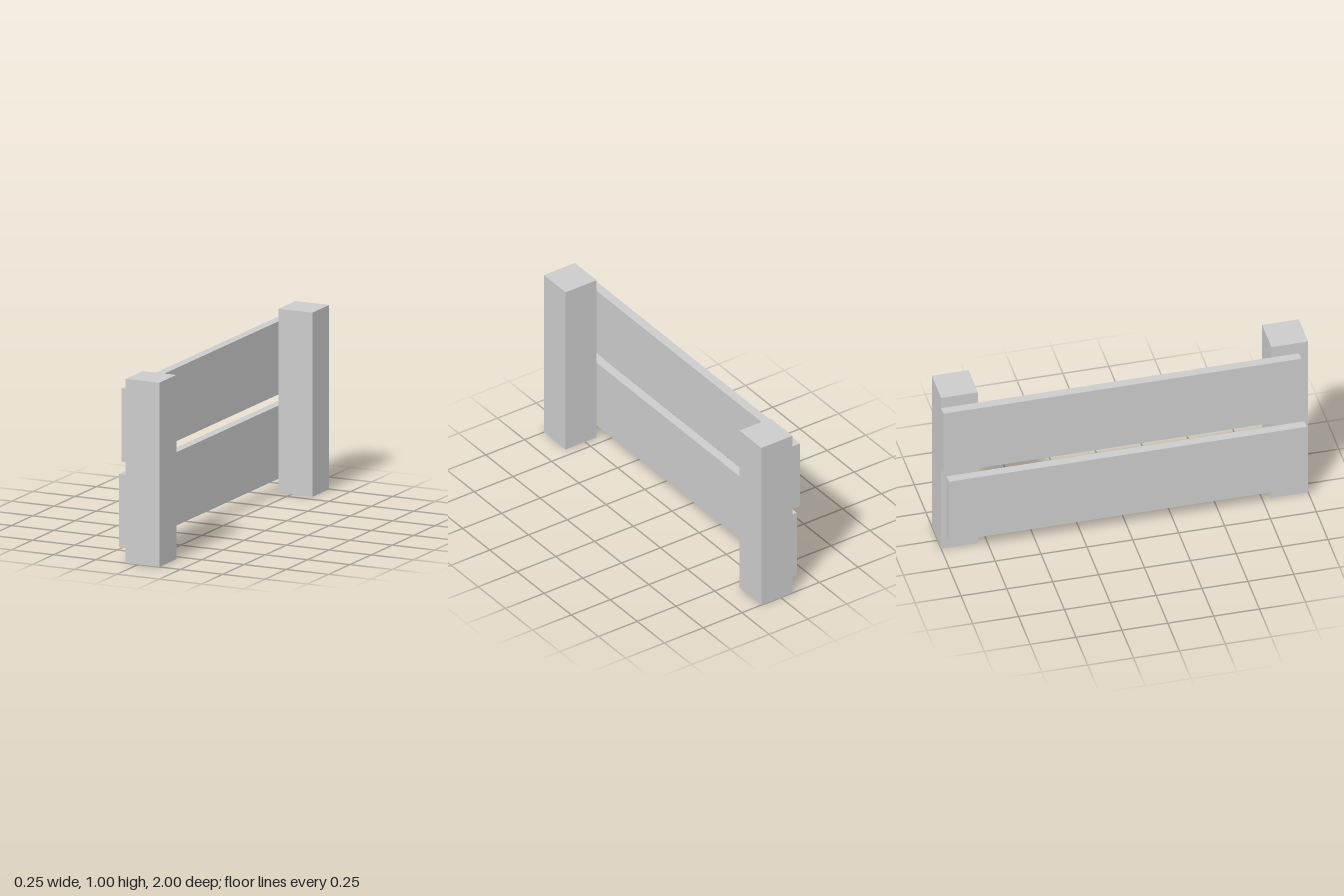
import * as THREE from 'three';
import { ConvexGeometry } from 'three/addons/geometries/ConvexGeometry.js';

const material = new THREE.MeshStandardMaterial({ color: 0xcccccc, flatShading: true });
const V = (x, y, z) => new THREE.Vector3(x, y, z);

// unique corner points of a convex hull
function hullCorners(points) {
  const pos = new ConvexGeometry(points).attributes.position;
  const corners = [];
  for (let i = 0; i < pos.count; i++) {
    const p = V().fromBufferAttribute(pos, i);
    if (!corners.some(c => c.distanceTo(p) < 1e-5)) corners.push(p);
  }
  return corners;
}

// split a convex solid by a plane into two corner sets
function split(points, plane) {
  const above = [], below = [];
  const d = points.map(p => plane.distanceToPoint(p));
  points.forEach((p, i) => {
    if (d[i] > -1e-6) above.push(p);
    if (d[i] < 1e-6) below.push(p);
    for (let j = 0; j < i; j++) {
      if (d[i] * d[j] < 0 && Math.min(Math.abs(d[i]), Math.abs(d[j])) > 1e-6) {
        const q = p.clone().lerp(points[j], d[i] / (d[i] - d[j]));
        above.push(q);
        below.push(q);
      }
    }
  });
  return [above, below];
}

// square post broken along planes; each cut slices off the side away from "keep"
function makePost(name, z, keep, cuts) {
  const group = new THREE.Group();
  group.name = name;
  let rest = [];
  for (const x of [-0.075, 0.125]) for (const y of [0, 1]) for (const dz of [-0.1, 0.1]) rest.push(V(x, y, z + dz));
  const addPiece = points => {
    const mesh = new THREE.Mesh(new ConvexGeometry(points), material);
    mesh.name = 'postPiece';
    group.add(mesh);
  };
  for (const cut of cuts) {
    const plane = new THREE.Plane().setFromCoplanarPoints(...cut.map(p => V(...p)));
    const [above, below] = split(rest, plane);
    const keepAbove = plane.distanceToPoint(keep) > 0;
    addPiece(keepAbove ? below : above);
    rest = hullCorners(keepAbove ? above : below);
  }
  addPiece(rest);
  return group;
}

// plank assembled from flat broken pieces, outlines given as [z, y]
function makePlank(name, outlines) {
  const group = new THREE.Group();
  group.name = name;
  for (const outline of outlines) {
    const shape = new THREE.Shape(outline.map(([z, y]) => new THREE.Vector2(z, y)));
    const geometry = new THREE.ExtrudeGeometry(shape, { depth: 0.05, bevelEnabled: false });
    geometry.rotateY(-Math.PI / 2).translate(-0.075, 0, 0);
    const mesh = new THREE.Mesh(geometry, material);
    mesh.name = 'plankPiece';
    group.add(mesh);
  }
  return group;
}

export function createModel() {
  const model = new THREE.Group();
  model.name = 'brokenFence';

  // posts
  model.add(makePost('frontPost', 0.9, V(0.05, 0.7, 0.95), [
    [[0.125, 0.483, 1], [0.125, 0.54, 0.8], [-0.015, 0.49, 1]],
    [[-0.013, 0.49, 1], [-0.043, 1, 1], [-0.075, 1, 0.8]],
    [[-0.04, 1, 0.8], [0.125, 1, 0.885], [0.125, 0.91, 0.8]],
  ]));
  model.add(makePost('backPost', -0.9, V(0.1, 0.99, -0.82), [
    [[0.125, 0.505, -0.8], [0.125, 0.52, -1], [-0.075, 0.46, -0.8]],
    [[0.005, 1, -0.98], [0.125, 1, -0.92], [0.125, 0.83, -0.965]],
    [[0.125, 0.83, -0.965], [0.125, 0.75, -0.8], [-0.01, 0.95, -0.8]],
    [[0.005, 1, -0.98], [-0.03, 1, -0.86], [-0.01, 0.95, -0.8]],
  ]));

  // upper plank
  const u0 = 0.535, u1 = 0.932;
  model.add(makePlank('upperPlank', [
    [[-1, u0], [-0.22, u0], [-0.17, u1], [-1, u1]],
    [[-0.22, u0], [0.93, u0], [0.91, 0.64], [0.71, u1], [-0.17, u1]],
    [[0.71, u1], [0.91, 0.64], [0.95, 0.642], [0.95, u1]],
    [[0.93, u0], [0.95, u0], [0.95, 0.642], [0.91, 0.64]],
  ]));

  // lower plank
  const l0 = 0.077, l1 = 0.475, a = [-0.17, 0.38], b = [0.575, 0.22];
  model.add(makePlank('lowerPlank', [
    [[-0.97, l0], [-0.58, l0], a, [-0.15, l1], [-0.97, l1]],
    [[-0.58, l0], [-0.075, l0], a],
    [[-0.075, l0], [0.565, l0], b, [0.405, l1], [-0.15, l1], a],
    [[0.565, l0], [0.98, l0], [0.98, 0.29], b],
    [b, [0.98, 0.29], [0.98, l1], [0.405, l1]],
  ]));
  return model;
}
